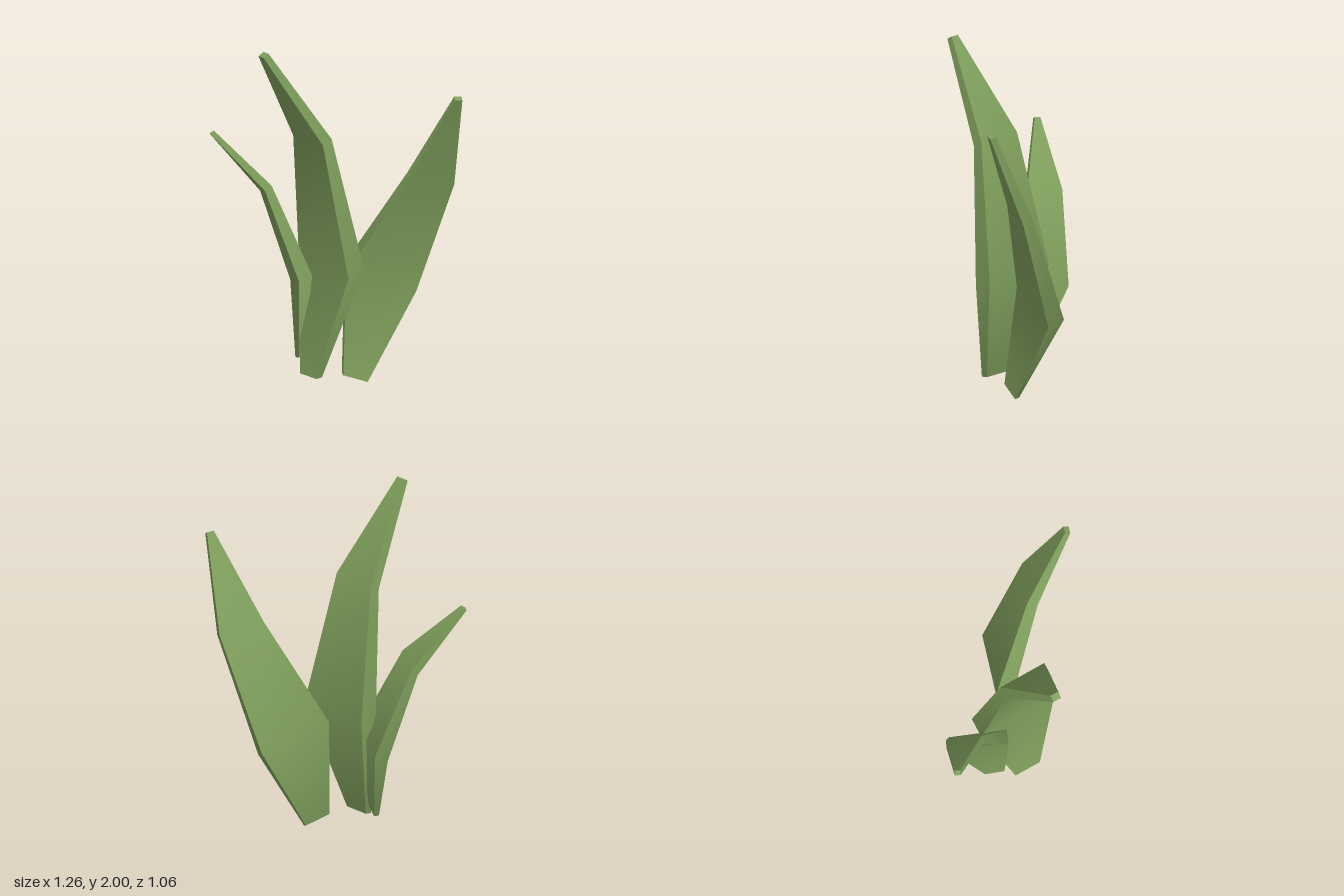
import * as THREE from 'three';

const green = new THREE.MeshStandardMaterial({ color: 0x7f9f5c });

// Each section, base to tip: [left edge, right edge, thickness vector towards the inner face].
const leaves = {
  centreLeaf: [
    [[-0.09, 0.055, 0.2], [0.07, 0.055, 0.2], [0, 0.005, -0.04]],
    [[-0.25, 0.66, 0.09], [0.23, 0.66, 0.09], [0, 0.04, -0.11]],
    [[-0.155, 1.44, 0.2], [0.135, 1.44, 0.2], [0, 0.03, -0.06]],
    [[-0.035, 1.98, 0.53], [0.015, 1.98, 0.53], [0, 0.02, -0.035]],
  ],
  rightLeaf: [
    [[-0.245, 0.105, 0.12], [-0.145, 0.13, 0.168], [0.01, 0, -0.028]],
    [[-0.42, 0.51, 0.03], [-0.125, 0.58, 0.18], [0.03, 0.035, -0.07]],
    [[-0.525, 1.03, 0.165], [-0.345, 1.08, 0.26], [0.015, 0.03, -0.035]],
    [[-0.635, 1.385, 0.44], [-0.605, 1.39, 0.455], [0.01, 0.015, -0.022]],
  ],
  leftLeaf: [
    [[0.075, 0.05, 0.015], [0.125, 0, -0.12], [-0.025, 0.008, -0.008]],
    [[0.03, 0.63, -0.04], [0.17, 0.5, -0.43], [-0.08, 0.04, -0.045]],
    [[0.33, 1.22, -0.26], [0.44, 1.17, -0.5], [-0.053, 0.02, -0.03]],
    [[0.615, 1.72, -0.38], [0.63, 1.715, -0.42], [-0.027, 0.015, -0.013]],
  ],
};

// Four-sided blade: smooth along its length, with sharp long edges and flat ends.
function bladeGeometry(sections) {
  const rings = sections.map(([a, b, t]) => {
    const shift = (p) => p.map((v, i) => v + t[i]);
    return [a, b, shift(b), shift(a)];
  });
  const positions = [];
  const index = [];
  for (let side = 0; side < 4; side++) {
    const start = positions.length / 3;
    rings.forEach((ring, r) => {
      positions.push(...ring[side], ...ring[(side + 1) % 4]);
      if (r === 0) return;
      const k = start + 2 * (r - 1);
      index.push(k, k + 1, k + 3, k, k + 3, k + 2);
    });
  }
  for (const cap of [[...rings[0]].reverse(), rings[rings.length - 1]]) {
    const k = positions.length / 3;
    positions.push(...cap.flat());
    index.push(k, k + 1, k + 2, k, k + 2, k + 3);
  }
  const geometry = new THREE.BufferGeometry();
  geometry.setAttribute('position', new THREE.Float32BufferAttribute(positions, 3));
  geometry.setIndex(index);
  geometry.computeVertexNormals();
  return geometry;
}

export function createModel() {
  const plant = new THREE.Group();
  plant.name = 'plant';
  for (const [name, sections] of Object.entries(leaves)) {
    const leaf = new THREE.Mesh(bladeGeometry(sections), green);
    leaf.name = name;
    plant.add(leaf);
  }
  return plant;
}
